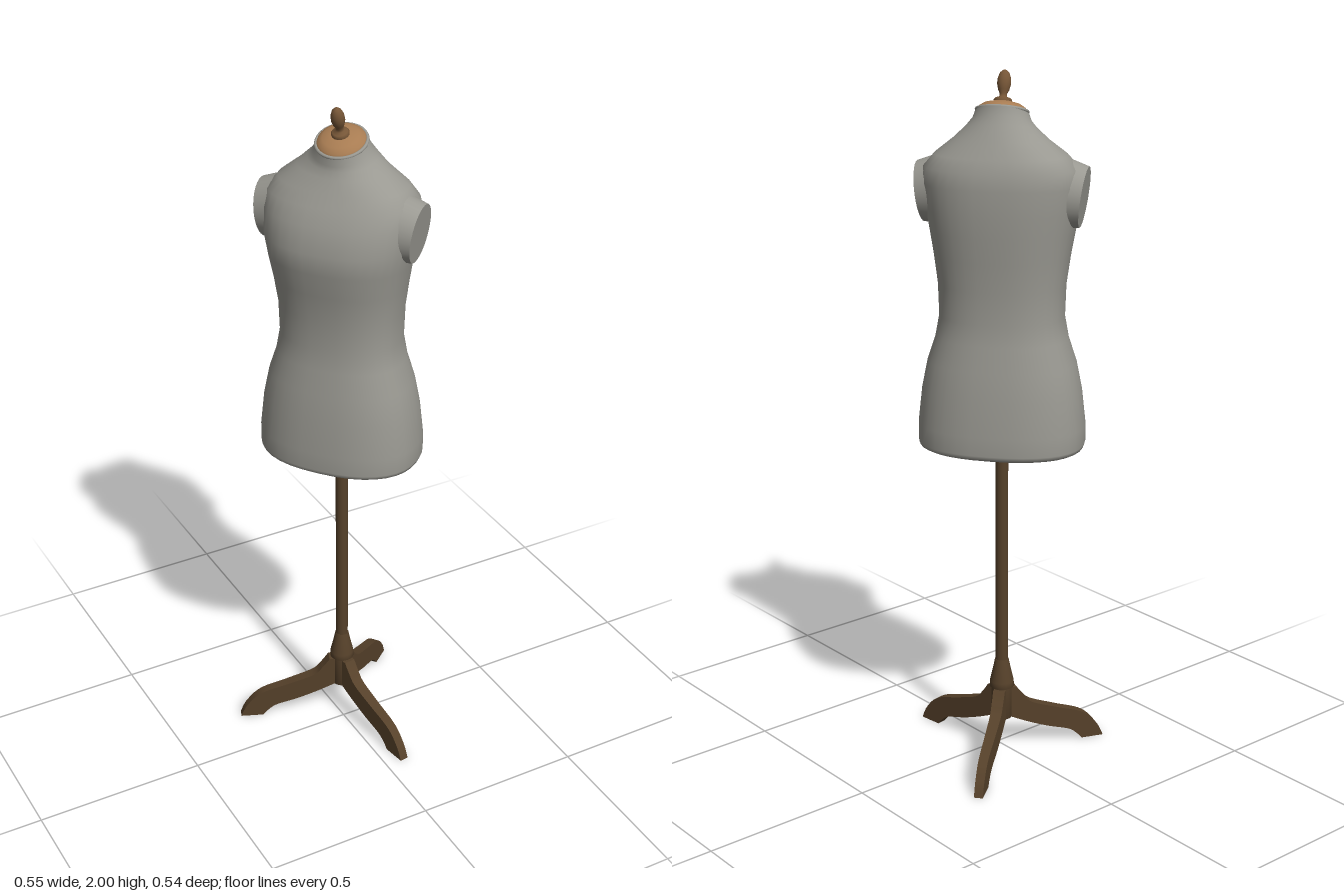
import * as THREE from 'three';

const mat = (name, color, side = THREE.FrontSide) => {
  const m = new THREE.MeshStandardMaterial({ color, side });
  m.name = name;
  return m;
};

export function createModel() {
  const cloth = mat('grey cloth', 0x9a9992);
  const darkWood = mat('dark wood', 0x56412a);
  const tanWood = mat('tan wood', 0xa87c52);
  const finialWood = mat('finial wood', 0x765637);
  const underside = mat('dark underside', 0x2a211c, THREE.DoubleSide);

  const model = new THREE.Group();
  model.name = 'dressForm';
  const add = (parent, name, geometry, material) => {
    const mesh = new THREE.Mesh(geometry, material);
    mesh.name = name;
    parent.add(mesh);
    return mesh;
  };
  const lathe = (pts, seg) =>
    new THREE.LatheGeometry(pts.map(([r, y]) => new THREE.Vector2(r, y)), seg);

  // Torso cross-sections: height, half width, half depth, forward offset
  const rings = [
    [0.952, 0.222, 0.158, 0], [0.957, 0.231, 0.166, 0], [0.968, 0.235, 0.169, 0],
    [1.02, 0.235, 0.168, 0], [1.12, 0.224, 0.160, 0], [1.2, 0.208, 0.150, 0],
    [1.27, 0.185, 0.138, 0], [1.33, 0.174, 0.131, 0], [1.42, 0.177, 0.133, 0],
    [1.5, 0.188, 0.142, 0.003], [1.57, 0.200, 0.152, 0.007], [1.63, 0.211, 0.156, 0.008],
    [1.7, 0.218, 0.146, -0.003], [1.745, 0.213, 0.131, -0.012], [1.78, 0.183, 0.114, -0.015],
    [1.82, 0.132, 0.095, -0.014], [1.85, 0.097, 0.081, -0.008], [1.87, 0.080, 0.074, -0.002],
    [1.893, 0.071, 0.071, 0],
  ];
  const SEG = 36;
  const TILT = 0.33;
  const pos = [], idx = [];
  const point = ([y, a, b, off], j) => {
    const t = (j / SEG) * Math.PI * 2;
    const e = y > 1.8 ? 1 : 2 / 2.35;
    const c = Math.cos(t), s = Math.sin(t);
    const x = a * Math.sign(c) * Math.abs(c) ** e;
    const z = b * Math.sign(s) * Math.abs(s) ** e + off;
    const lean = THREE.MathUtils.smoothstep(y, 1.8, 1.89) * Math.tan(TILT);
    return [x, y - z * lean, z];
  };
  rings.forEach((ring, i) => {
    for (let j = 0; j < SEG; j++) {
      pos.push(...point(ring, j));
      if (i === rings.length - 1) continue;
      const k = (j + 1) % SEG;
      const a = i * SEG + j, b = i * SEG + k;
      idx.push(a, a + SEG, b, b, a + SEG, b + SEG);
    }
  });
  const torso = new THREE.BufferGeometry();
  torso.setAttribute('position', new THREE.Float32BufferAttribute(pos, 3));
  torso.setIndex(idx);
  torso.computeVertexNormals();
  add(model, 'torso', torso, cloth);

  // Flat underside of the torso
  const outline = [];
  for (let j = 0; j < SEG; j++) {
    const [x, , z] = point(rings[0], j);
    outline.push(new THREE.Vector2(x, z));
  }
  const base = new THREE.ShapeGeometry(new THREE.Shape(outline));
  base.rotateX(Math.PI / 2);
  add(model, 'torsoUnderside', base, underside).position.y = 0.953;

  // Shoulder stumps ending in flat armhole discs
  for (const side of [1, -1]) {
    const shoulder = new THREE.Group();
    shoulder.name = side > 0 ? 'leftShoulder' : 'rightShoulder';
    const g = new THREE.CylinderGeometry(1, 1.3, 0.11, 32);
    g.rotateZ(-Math.PI / 2);
    g.scale(1, 0.084, 0.072);
    g.rotateZ(-0.13);
    g.translate(0.172, 1.675, 0);
    add(shoulder, 'armhole', g, cloth);
    shoulder.rotation.y = side > 0 ? 0 : Math.PI;
    model.add(shoulder);
  }

  // Neck: rim, domed wooden cap and finial, all leaning forward
  const neck = new THREE.Group();
  neck.name = 'neckTop';
  neck.position.y = 1.893;
  neck.rotation.x = TILT;
  const rim = new THREE.TorusGeometry(0.069, 0.005, 8, 36);
  rim.rotateX(Math.PI / 2);
  add(neck, 'neckRim', rim, cloth);
  add(neck, 'neckCap', lathe([[0.068, 0], [0.064, 0.009], [0.05, 0.018], [0.028, 0.024], [0, 0.026]], 32), tanWood);
  add(neck, 'finial', lathe([
    [0.024, 0.02], [0.025, 0.029], [0.021, 0.034], [0.011, 0.037], [0.01, 0.046], [0.015, 0.056],
    [0.019, 0.072], [0.018, 0.088], [0.013, 0.102], [0.006, 0.109], [0, 0.111],
  ], 20), finialWood);
  model.add(neck);

  // Pole with flared foot and hub
  add(model, 'pole', new THREE.CylinderGeometry(0.018, 0.018, 0.7, 20).translate(0, 0.605, 0), darkWood);
  add(model, 'poleFoot', lathe([
    [0, 0.105], [0.03, 0.105], [0.03, 0.2], [0.036, 0.205], [0.035, 0.222], [0.026, 0.26], [0.02, 0.29], [0.018, 0.29],
  ], 20), darkWood);

  // Three curved legs, narrowing toward the floor
  const leg = new THREE.Shape();
  const v = (pts) => pts.map(([x, y]) => new THREE.Vector2(x, y));
  leg.moveTo(0, 0.105);
  leg.lineTo(0.025, 0.105);
  leg.splineThru(v([[0.08, 0.08], [0.14, 0.057], [0.205, 0.037], [0.232, 0.018], [0.248, 0]]));
  leg.lineTo(0.316, 0);
  leg.splineThru(v([[0.295, 0.042], [0.25, 0.085], [0.165, 0.115], [0.09, 0.143], [0.062, 0.17], [0.04, 0.2]]));
  leg.lineTo(0, 0.2);
  const legGeo = new THREE.ExtrudeGeometry(leg, { depth: 0.036, bevelEnabled: false, curveSegments: 12 });
  legGeo.translate(0, 0, -0.018);
  const p = legGeo.attributes.position;
  for (let i = 0; i < p.count; i++) p.setZ(i, p.getZ(i) * (1 - 0.9 * p.getX(i)));
  legGeo.computeVertexNormals();
  for (let i = 0; i < 3; i++) {
    add(model, 'leg' + (i + 1), legGeo, darkWood).rotation.y = Math.PI / 2 + (i * Math.PI * 2) / 3;
  }

  // The form stands turned to its right, slightly off centre
  model.rotation.y = THREE.MathUtils.degToRad(-52);
  model.position.set(0.016, 0, -0.04);
  const root = new THREE.Group();
  root.name = 'mannequinStand';
  root.add(model);
  return root;
}
